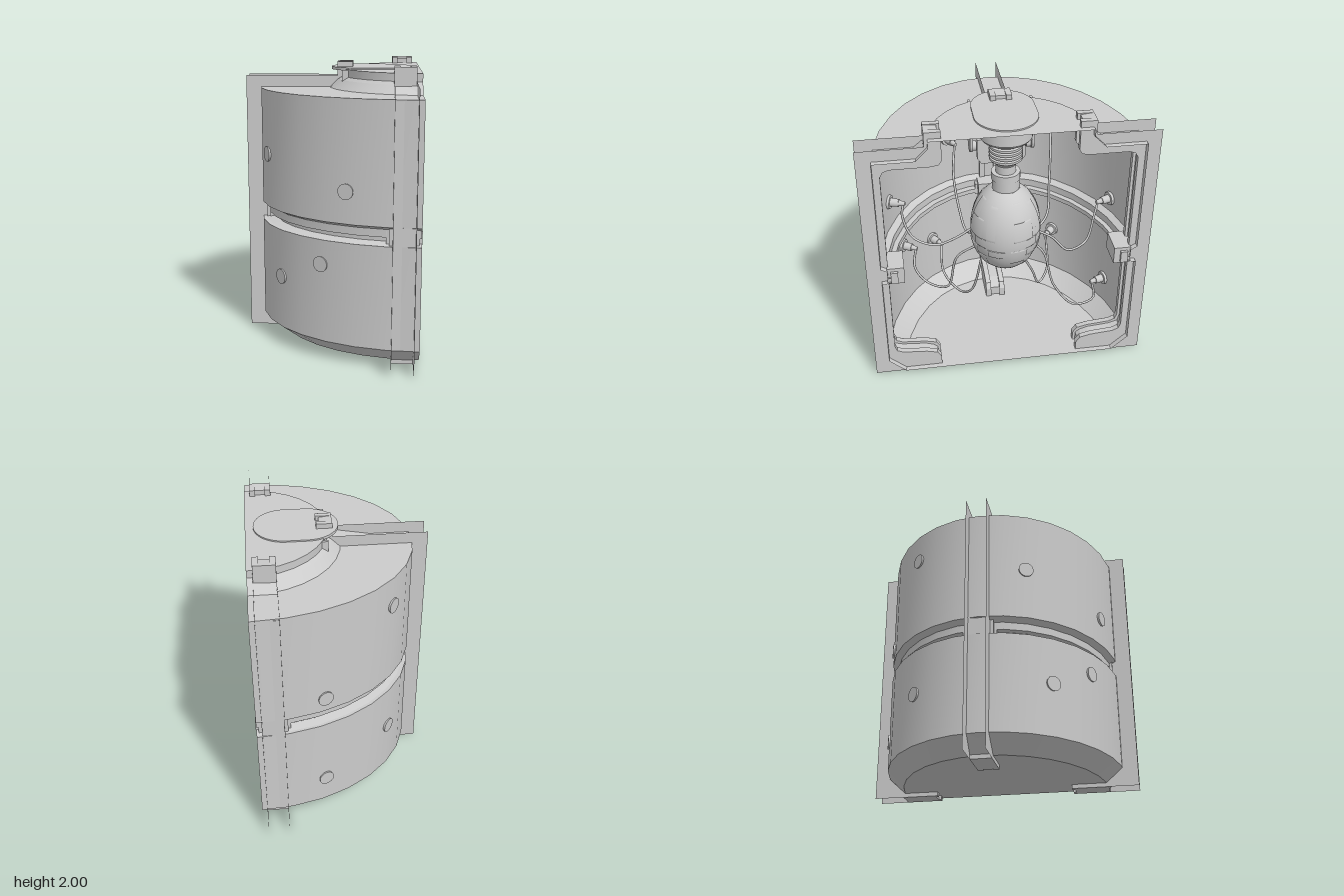
import * as THREE from 'three';
import { mergeGeometries } from 'three/addons/utils/BufferGeometryUtils.js';

const grey = new THREE.MeshStandardMaterial({ color: 0xcccccc, side: THREE.DoubleSide });
const CUT = 0.62;    // x of the open section face
const AXIS = 0.35;   // x of the hanging pod's axis

function add(parent, name, geometry, x = 0, y = 0, z = 0) {
  const mesh = new THREE.Mesh(geometry, grey);
  mesh.name = name;
  mesh.position.set(x, y, z);
  parent.add(mesh);
  return mesh;
}

// Half-oval shell: each profile step [xRadius, zRadius, y] is a strip, creased at its rims.
function halfShell(profile) {
  const strips = [];
  for (let i = 0; i < profile.length - 1; i++) {
    const g = new THREE.PlaneGeometry(1, 1, 16, 1);
    const p = g.attributes.position;
    for (let k = 0; k < p.count; k++) {
      const [a, b, y] = profile[p.getY(k) > 0 ? i + 1 : i];
      const t = p.getX(k) * Math.PI;
      p.setXYZ(k, CUT - a * Math.cos(t), y, b * Math.sin(t));
    }
    g.computeVertexNormals();
    strips.push(g);
  }
  return mergeGeometries(strips);
}

// Lathe whose profile steps stay sharp
function turned(points, segments = 32) {
  return mergeGeometries(points.slice(1).map((p, i) => new THREE.LatheGeometry(
    [new THREE.Vector2(...points[i]), new THREE.Vector2(...p)], segments)));
}

// Inner outline of a rib (radius, height), recessed by d
const innerPath = (d) => [
  [0.45 + d, 2 - d * 0.5], [0.45 + d, 1.79], [0.47 + d, 1.76 + d], [0.52, 1.75 + d], [0.79, 1.75 + d],
  [0.83 + d, 1.735 + d], [0.85 + d, 1.7], [0.85 + d, 0.24], [0.835 + d, 0.2 - d], [0.79, 0.18 - d],
  [0.62, 0.165 - d], [0.54 + d, 0.145 - d], [0.51 + d, 0.1], [0.51 + d, 0]];
const wallPath = [[0.78, 0], [0.78, 0.03], [0.89, 0.14], [0.89, 1.81], [0.62, 1.82], [0.56, 1.87], [0.56, 2]];
const platePath = [[1, 0], [1, 1.9], [0.56, 1.9], [0.56, 2]];

// One rib: two flat plates with flanges and a recessed web between them
function rib(name, map) {
  const group = new THREE.Group();
  group.name = name;
  const shape = (pts) => new THREE.Shape(pts.map((p) => new THREE.Vector2(...map(p))));
  const layer = (label, d, depth, z) => add(group, label, new THREE.ExtrudeGeometry(
    shape([...innerPath(d), ...wallPath]), { depth, bevelEnabled: false }), 0, 0, z);
  layer('ribWeb', 0.02, 0.07, -0.035);
  for (const s of [-1, 1]) {
    layer('ribFlange', 0, 0.04, s < 0 ? -0.075 : 0.035);
    add(group, 'ribPlate', new THREE.ShapeGeometry(shape([...innerPath(0), ...platePath])), 0, 0, s * 0.0755);
  }
  // Clamp across the tank's waist
  const [cx] = map([0.8, 0.91]);
  add(group, 'ribClamp', new THREE.BoxGeometry(0.12, 0.13, 0.2), cx, 0.915, 0);
  add(group, 'clampJaw', new THREE.BoxGeometry(0.05, 0.09, 0.24), cx + 0.01, 0.91, 0);
  return group;
}

// Radius of the pod at a height
const podRadius = (y) => {
  const t = (y - 1.08) / (y < 1.08 ? 0.335 : 0.36);
  return 0.25 * Math.sqrt(Math.max(0, 1 - t * t));
};
function podSkin(y0, y1, lift, start, length, steps, segments) {
  const pts = [];
  for (let i = 0; i <= steps; i++) {
    // even angular steps keep the lower tip round
    const y = y0 + (y1 - y0) * (1 - Math.cos((i / steps) * Math.PI)) / 2;
    pts.push(new THREE.Vector2(podRadius(y) + lift, y));
  }
  if (lift) {
    pts.unshift(new THREE.Vector2(podRadius(y0), y0));
    pts.push(new THREE.Vector2(podRadius(y1), y1));
  }
  return new THREE.LatheGeometry(pts, segments, start, length);
}

export function createModel() {
  const model = new THREE.Group();

  // Tank shell: floor, chamfer, waist groove, shoulder, neck and roof
  add(model, 'tankShell', halfShell([
    [0, 0, 0.03], [1.0, 0.78, 0.03], [1.15, 0.9, 0.14], [1.15, 0.9, 0.86], [1.12, 0.88, 0.86],
    [1.05, 0.82, 0.875], [1.05, 0.82, 0.91], [1.1, 0.855, 0.91], [1.1, 0.855, 0.965],
    [1.15, 0.9, 0.99], [1.15, 0.9, 1.82], [0.65, 0.62, 1.82], [0.59, 0.56, 1.88],
    [0.56, 0.54, 1.9], [0.56, 0.54, 1.955], [0, 0, 1.955]]));

  // Ribs at both sides and at the closed end
  for (const s of [1, -1]) {
    const side = rib(s > 0 ? 'leftRib' : 'rightRib', (p) => p);
    side.position.x = 0.505;
    side.rotation.y = -s * Math.PI / 2;
    model.add(side);
  }
  const end = rib('endRib', ([r, y]) => [r + (y > 1.755 && r < 0.6 ? 0.03 : 0.25), y]);
  end.position.x = CUT;
  end.rotation.y = Math.PI;
  model.add(end);

  // Rounded lid lying on the roof
  const lid = new THREE.Shape();
  lid.absarc(0.35, 0, 0.215, -Math.PI / 2, Math.PI / 2);
  lid.absarc(0.2, 0, 0.215, Math.PI / 2, Math.PI * 1.5);
  add(model, 'lid', new THREE.ExtrudeGeometry(lid, { depth: 0.02, bevelEnabled: false, curveSegments: 16 }),
    0, 1.965, 0).rotation.x = Math.PI / 2;

  // Hanging pod: cap, ribbed stalk, collar
  const pod = new THREE.Group();
  pod.name = 'pod';
  pod.position.x = AXIS;
  model.add(pod);
  add(pod, 'podCap', turned([[0, 1.8], [0.165, 1.8], [0.18, 1.82], [0.18, 1.925], [0.205, 1.925], [0.205, 1.962], [0, 1.962]]));
  add(pod, 'stalk', turned([[0.095, 1.4], [0.095, 1.485], [0.1, 1.485], [0.1, 1.54], [0.07, 1.54],
    [0.07, 1.6], [0.095, 1.63], [0.095, 1.81]]));
  for (let i = 0; i < 5; i++) {
    add(pod, 'stalkRing', turned([[0.09, 0], [0.115, 0.004], [0.115, 0.02], [0.09, 0.024]]), 0, 1.64 + i * 0.031, 0);
  }
  add(pod, 'podBody', podSkin(0.745, 1.41, 0, 0, Math.PI * 2, 28, 36));
  add(pod, 'podTop', new THREE.CircleGeometry(0.1, 24), 0, 1.41, 0).rotation.x = -Math.PI / 2;

  // Raised stepped panels around the pod
  const panels = [[1.24, 1.36, 0.1, 0.35], [1.1, 1.24, 0.1, 0.6], [1.03, 1.1, 0.45, 0.4],
    [0.9, 1.02, 0.0, 0.5], [0.84, 0.95, 0.5, 0.3], [1.1, 1.34, 0.85, 0.28], [0.96, 1.02, 0.9, 0.5]];
  for (let i = 0; i < 4; i++) {
    for (const [y0, y1, start, length] of panels) {
      add(pod, 'podPanel', podSkin(y0, y1, 0.005, start + i * Math.PI / 2, length, 6, 6));
    }
  }

  // Bracket arms hanging beside the cap, each with a pivot knob
  const arm = new THREE.Shape();
  arm.moveTo(0.07, 1.95);
  arm.lineTo(0.07, 1.66);
  arm.absarc(0.14, 1.66, 0.07, Math.PI, Math.PI * 2);
  arm.lineTo(0.21, 1.95);
  for (const s of [-1, 1]) {
    add(model, 'bracketArm', new THREE.ExtrudeGeometry(arm, { depth: 0.02, bevelEnabled: false }), 0, 0, s * 0.215 - 0.01);
    add(model, 'bracketKnob', new THREE.CylinderGeometry(0.035, 0.035, 0.05, 16), 0.14, 1.63, s * 0.2).rotation.x = Math.PI / 2;
  }
  add(model, 'bracketBase', new THREE.ExtrudeGeometry(new THREE.Shape([[-0.17, 1.68], [-0.17, 1.53], [-0.14, 1.49],
    [0.14, 1.49], [0.17, 1.53], [0.17, 1.68]].map((p) => new THREE.Vector2(...p))),
  { depth: 0.04, bevelEnabled: false }), 0.12, 0, 0).rotation.y = Math.PI / 2;

  // Wall sockets with cables to the pod: [z, y] of the socket, then of the cable
  const cables = [
    [[0.81, 1.21], [0.72, 1.12], [0.65, 0.94], [0.5, 0.88], [0.36, 0.94], [0.2, 1.06]],
    [[0.33, 1.37], [0.31, 1.2], [0.29, 1.0], [0.26, 0.91], [0.2, 1.0]],
    [[-0.5, 1.6], [-0.41, 1.45], [-0.38, 1.2], [-0.34, 1.0], [-0.2, 0.94]],
    [[-0.82, 1.1], [-0.69, 1.0], [-0.63, 0.78], [-0.5, 0.73], [-0.36, 0.88], [-0.2, 0.99]],
    [[0.73, 0.69], [0.65, 0.55], [0.56, 0.44], [0.42, 0.43], [0.34, 0.75], [0.19, 0.89]],
    [[0.49, 0.52], [0.42, 0.34], [0.31, 0.25], [0.23, 0.36], [0.15, 0.84]],
    [[-0.5, 0.52], [-0.42, 0.29], [-0.33, 0.26], [-0.24, 0.5], [-0.1, 0.83]],
    [[-0.82, 0.35], [-0.73, 0.2], [-0.58, 0.17], [-0.4, 0.4], [-0.3, 0.75], [-0.18, 0.89]]];
  for (const [[z, y], ...route] of cables) {
    const wallX = CUT - 1.15 * Math.sqrt(1 - (z / 0.9) ** 2);
    const inward = new THREE.Vector3((CUT - wallX) / 1.3225, 0, -z / 0.81).normalize();
    const socket = new THREE.Group();
    socket.name = 'socket';
    socket.position.set(wallX, y, z);
    socket.quaternion.setFromUnitVectors(new THREE.Vector3(0, 1, 0), inward);
    model.add(socket);
    add(socket, 'socketFlange', new THREE.CylinderGeometry(0.05, 0.055, 0.03, 16), 0, 0.005, 0);
    add(socket, 'socketBody', new THREE.CylinderGeometry(0.028, 0.032, 0.07, 16), 0, 0.045, 0);
    add(socket, 'plug', new THREE.CylinderGeometry(0.014, 0.022, 0.05, 12), 0, 0.1, 0);
    const start = new THREE.Vector3(wallX, y, z).addScaledVector(inward, 0.11);
    const points = [start];
    route.forEach(([cz, cy], i) => {
      const t = (i + 1) / route.length;
      points.push(new THREE.Vector3(start.x + (AXIS - 0.06 - start.x) * t, cy, cz));
    });
    add(model, 'cable', new THREE.TubeGeometry(new THREE.CatmullRomCurve3(points), 40, 0.009, 8));
  }

  return model;
}
